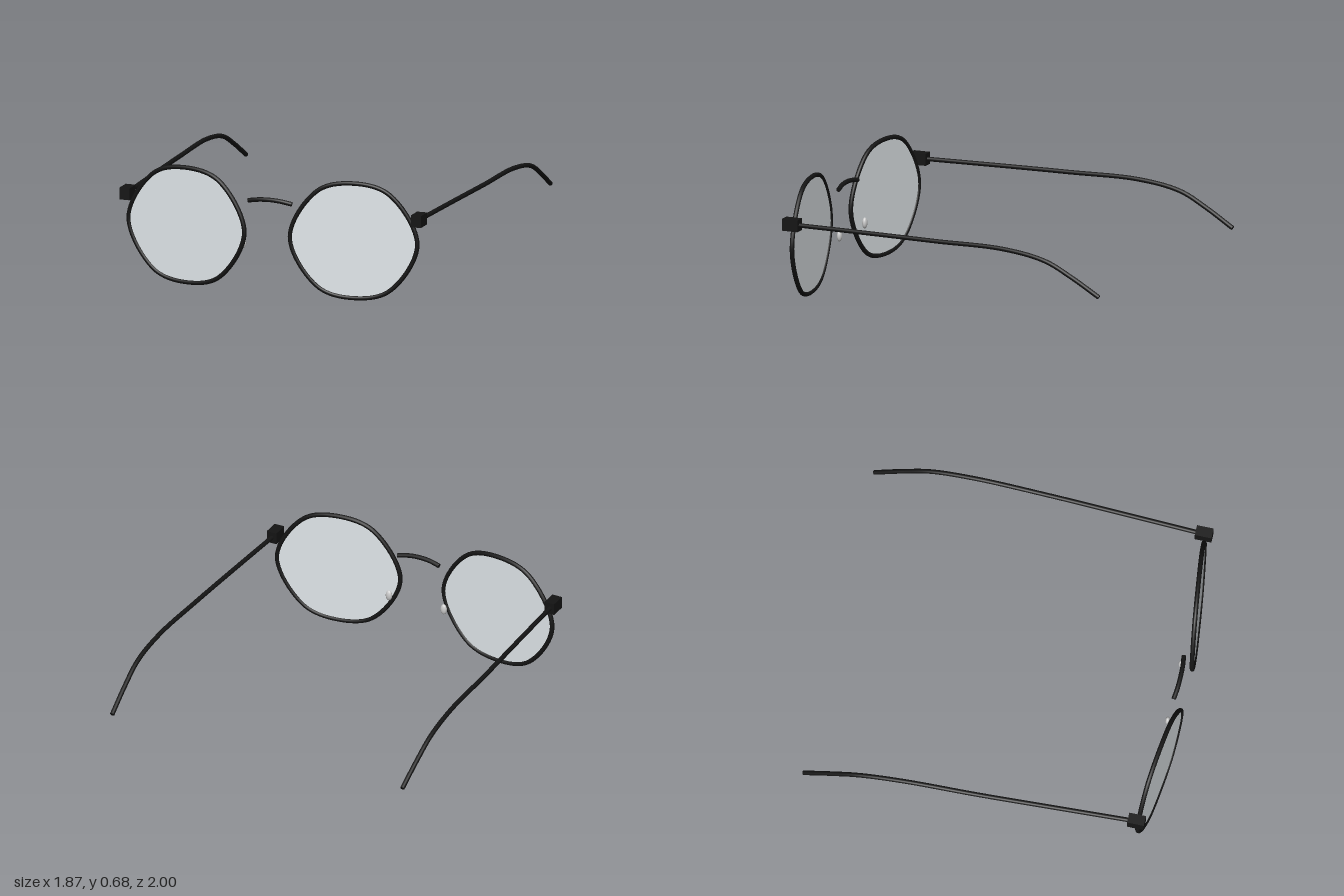
import * as THREE from 'three';

const frameMat = new THREE.MeshStandardMaterial({ color: 0x141414 });
const lensMat = new THREE.MeshStandardMaterial({ color: 0xe3e9ec });
const padMat = new THREE.MeshStandardMaterial({ color: 0xf6f8f8 });

const WIRE = 0.013;

function addMesh(parent, name, geometry, material) {
  const mesh = new THREE.Mesh(geometry, material);
  mesh.name = name;
  parent.add(mesh);
  return mesh;
}

// Round wire along a smooth curve, with flat discs closing open ends
function addWire(parent, name, points, segments, closed = false) {
  const curve = new THREE.CatmullRomCurve3(points, closed);
  const group = new THREE.Group();
  group.name = name;
  addMesh(group, name + 'Wire', new THREE.TubeGeometry(curve, segments, WIRE, 12, closed), frameMat);
  if (!closed) {
    for (const t of [0, 1]) {
      const cap = addMesh(group, name + 'Cap', new THREE.CircleGeometry(WIRE, 12), frameMat);
      const outward = curve.getTangent(t).multiplyScalar(t ? 1 : -1);
      cap.position.copy(curve.getPoint(t));
      cap.quaternion.setFromUnitVectors(new THREE.Vector3(0, 0, 1), outward);
    }
  }
  parent.add(group);
  return curve;
}

export function createModel() {
  const model = new THREE.Group();
  model.name = 'eyeglasses';

  // Rim outline: soft, slightly angular round
  const outline = [
    [0.366, 0], [0.205, 0.276], [0, 0.328], [-0.205, 0.276],
    [-0.366, 0], [-0.205, -0.276], [0, -0.328], [0.205, -0.276],
  ].map(([x, y]) => new THREE.Vector3(x, y, 0));

  for (const s of [1, -1]) {
    const side = s > 0 ? 'left' : 'right';

    // Rim and lens, turned so the outer edge sweeps back
    const eye = new THREE.Group();
    eye.name = side + 'Eyepiece';
    eye.position.set(s * 0.5, 0.341, 0.943);
    eye.rotation.y = s * 0.122;
    model.add(eye);
    const rim = addWire(eye, side + 'Rim', outline, 96, true);
    const lensShape = new THREE.Shape(rim.getPoints(96).map((p) => new THREE.Vector2(p.x, p.y)));
    const lens = new THREE.ExtrudeGeometry(lensShape, { depth: 0.008, bevelEnabled: false });
    lens.translate(0, 0, -0.004);
    addMesh(eye, side + 'Lens', lens, lensMat);

    // Hinge block
    const hinge = addMesh(model, side + 'Hinge', new THREE.BoxGeometry(0.06, 0.068, 0.095), frameMat);
    hinge.position.set(s * 0.872, 0.484, 0.895);

    // Temple arm, bowed outwards and dropping behind the ear
    addWire(model, side + 'Temple', [
      [0.872, 0.483, 0.87], [0.892, 0.484, 0.4], [0.908, 0.483, 0],
      [0.918, 0.48, -0.42], [0.921, 0.437, -0.67], [0.917, 0.358, -0.83], [0.911, 0.259, -0.994],
    ].map(([x, y, z]) => new THREE.Vector3(s * x, y, z)), 80);

    // Nose pad
    const pad = addMesh(model, side + 'NosePad', new THREE.SphereGeometry(1, 20, 14), padMat);
    pad.scale.set(0.019, 0.031, 0.014);
    pad.position.set(s * 0.172, 0.263, 0.918);
  }

  // Arched bridge
  addWire(model, 'bridge', [
    [-0.13, 0.516, 0.943], [-0.065, 0.528, 0.951], [0, 0.532, 0.953],
    [0.065, 0.528, 0.951], [0.13, 0.516, 0.943],
  ].map((p) => new THREE.Vector3(...p)), 32);

  return model;
}
